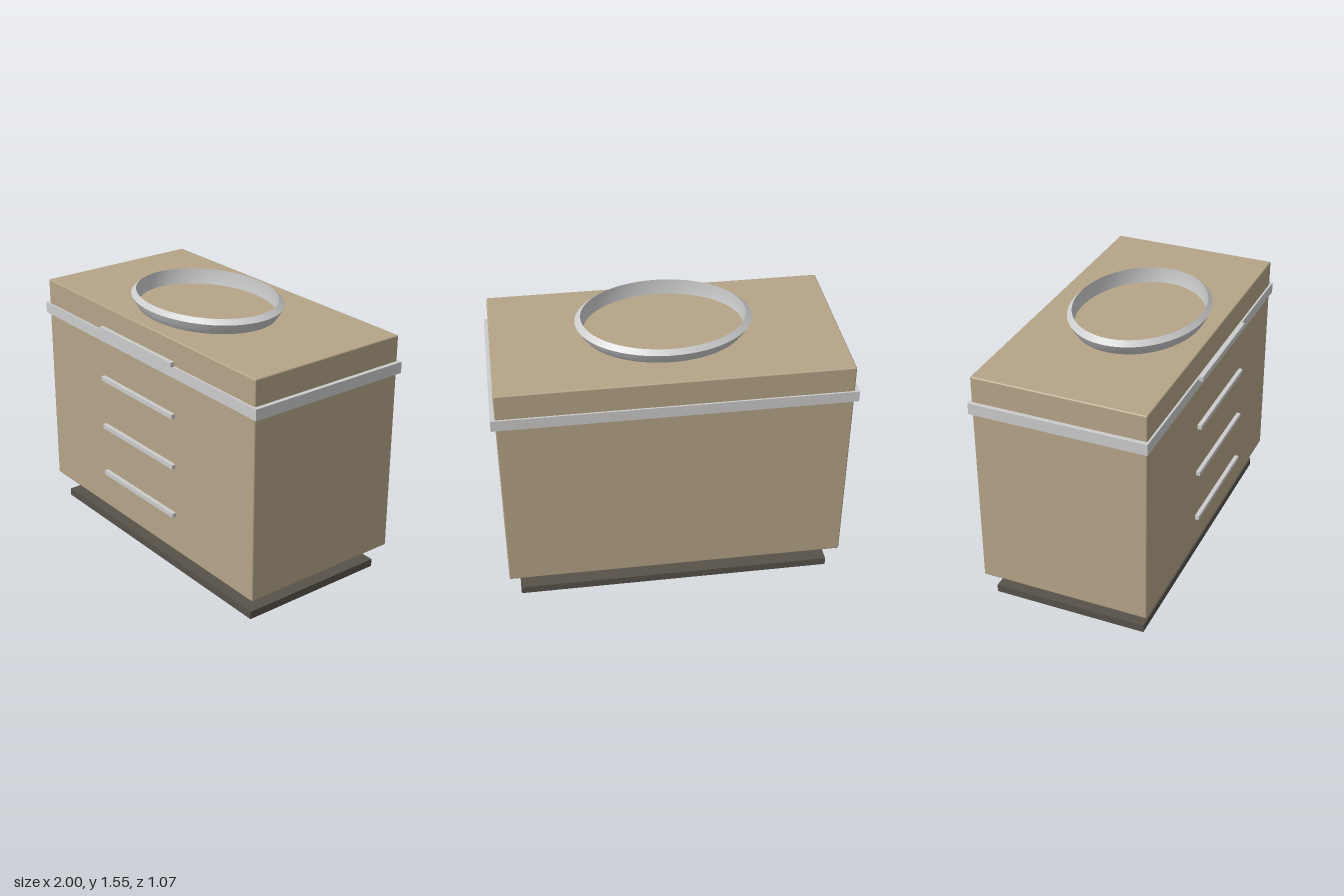
import * as THREE from 'three';
import { RoundedBoxGeometry } from 'three/addons/geometries/RoundedBoxGeometry.js';
import { toCreasedNormals } from 'three/addons/utils/BufferGeometryUtils.js';

const material = (color) => new THREE.MeshStandardMaterial({ color });

export function createModel() {
  const model = new THREE.Group();
  model.name = 'washbasinCabinet';
  const wood = material(0xb5a488);
  const dark = material(0x57524a);
  const grey = material(0xcccccc);

  const add = (name, geometry, mat, x, y, z) => {
    const mesh = new THREE.Mesh(geometry, mat);
    mesh.name = name;
    mesh.position.set(x, y, z);
    model.add(mesh);
    return mesh;
  };

  // Cabinet body with slightly eased edges
  add('cabinetBody', new RoundedBoxGeometry(1.95, 1.298, 1.0, 2, 0.008), wood, 0, 0.807, -0.023);

  // Projecting band around the cabinet
  add('countertopBand', new THREE.BoxGeometry(2.0, 0.065, 1.022), grey, 0, 1.273, -0.022);

  // Recessed plinth on the floor
  add('plinth', new THREE.BoxGeometry(1.826, 0.046, 0.914), dark, 0, 0.023, -0.023);

  // Four bar handles in front of the drawers
  for (let i = 0; i < 4; i++) {
    add(`handle${i + 1}`, new THREE.BoxGeometry(0.682, 0.026, 0.024), grey, 0, 0.426 + i * 0.305, 0.523);
  }

  // Oval basin: outside wall, bevelled rim, inside wall; its lower part is sunk in the cabinet
  const profile = [
    [0, 1.33], [0.25, 1.34], [0.38, 1.385], [0.455, 1.455], [0.479, 1.488], [0.497, 1.52],
    [0.464, 1.546], [0.462, 1.5], [0.452, 1.455], [0.36, 1.395], [0.24, 1.36], [0, 1.35],
  ].map(([r, y]) => new THREE.Vector2(r, y));
  const basin = new THREE.LatheGeometry(profile, 64);
  basin.scale(1, 1, 0.786);
  add('basin', toCreasedNormals(basin, 0.6), grey, 0, 0, 0.028);

  return model;
}
